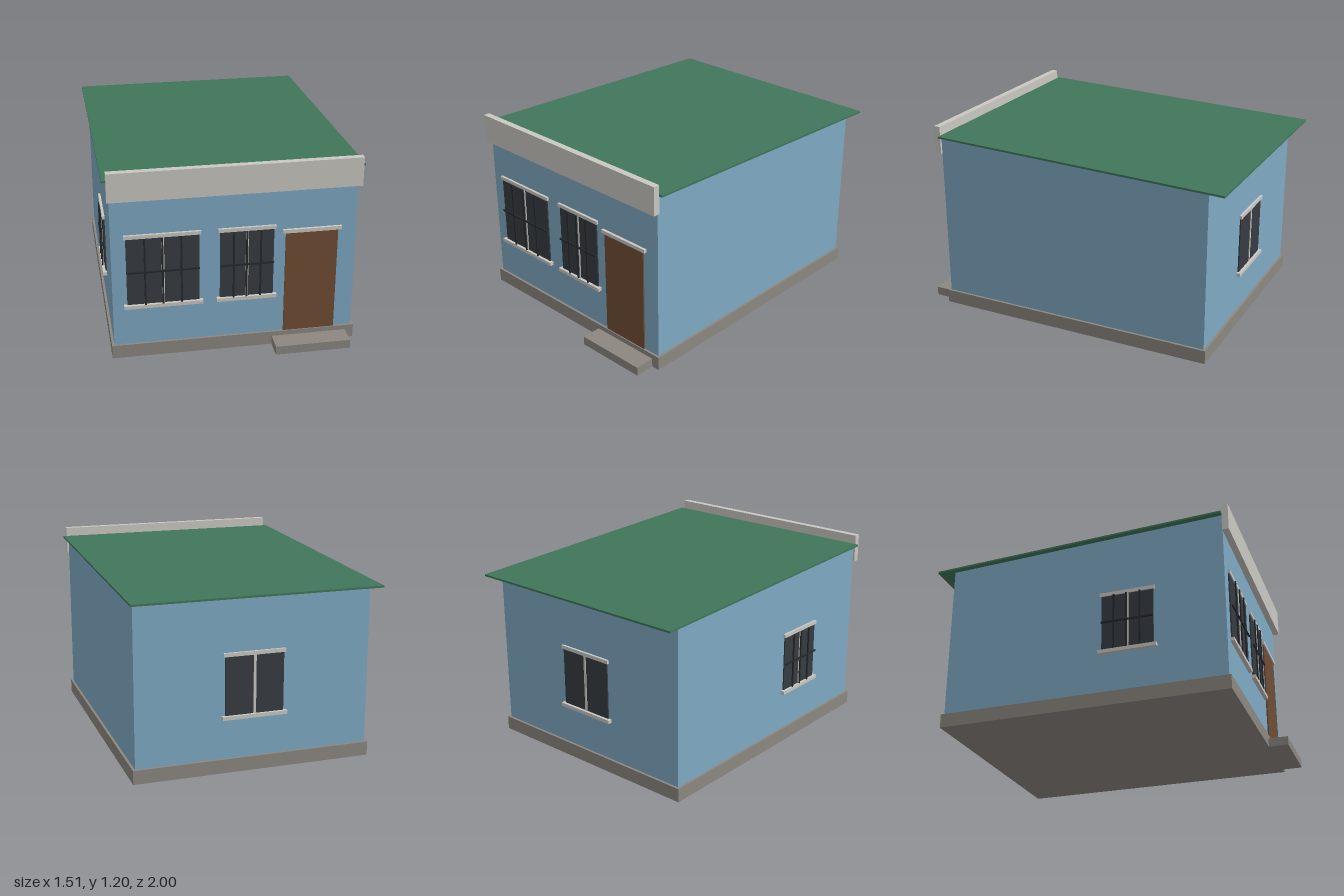
import * as THREE from 'three';

const mat = (name, color) => {
  const m = new THREE.MeshStandardMaterial({ color });
  m.name = name;
  return m;
};

export function createModel() {
  const wallBlue = mat('wall blue', 0x7faac4);
  const roofGreen = mat('roof green', 0x40765a);
  const trim = mat('pale trim', 0xcac8c2);
  const stone = mat('plinth grey', 0x8c8780);
  const wood = mat('door brown', 0x704d35);
  const glassDark = mat('glass', 0x373c42);
  const iron = mat('grille iron', 0x25292d);

  const house = new THREE.Group();
  house.name = 'house';

  // Box given by its minimum and maximum corners
  const box = (parent, name, material, [x0, y0, z0], [x1, y1, z1]) => {
    const mesh = new THREE.Mesh(new THREE.BoxGeometry(x1 - x0, y1 - y0, z1 - z0), material);
    mesh.position.set((x0 + x1) / 2, (y0 + y1) / 2, (z0 + z1) / 2);
    mesh.name = name;
    parent.add(mesh);
  };

  // Side profile of [z, y] points, extruded across x and centred
  const profile = (name, material, points, width) => {
    const shape = new THREE.Shape(points.map(([z, y]) => new THREE.Vector2(z, y)));
    const geo = new THREE.ExtrudeGeometry(shape, { depth: width, bevelEnabled: false });
    geo.rotateY(-Math.PI / 2).translate(width / 2, 0, 0);
    const mesh = new THREE.Mesh(geo, material);
    mesh.name = name;
    house.add(mesh);
  };

  // Base, walls and sloping roof
  box(house, 'plinth', stone, [-0.735, 0, -0.91], [0.735, 0.085, 0.877]);
  box(house, 'frontStep', stone, [0.227, 0, 0.87], [0.683, 0.055, 1]);
  profile('walls', wallBlue, [[-0.895, 0.05], [0.862, 0.05], [0.862, 1.128], [-0.895, 1.068]], 1.44);
  profile('roof', roofGreen, [[-1, 1.064], [0.862, 1.127], [0.862, 1.139], [-1, 1.076]], 1.51);
  box(house, 'parapet', trim, [-0.733, 1.02, 0.862], [0.733, 1.195, 0.902]);

  // Door with its lintel
  box(house, 'door', wood, [0.298, 0.085, 0.86], [0.61, 0.74, 0.871]);
  box(house, 'doorLintel', trim, [0.28, 0.74, 0.86], [0.63, 0.762, 0.879]);

  // Window facing +z on the plane z = 0, centred on x = 0
  const addWindow = (name, w, y0, y1, grille) => {
    const g = new THREE.Group();
    g.name = name;
    const h = w / 2;
    box(g, 'glass', glassDark, [-h, y0, -0.002], [h, y1, 0.008]);
    box(g, 'mullion', trim, [-0.008, y0, 0], [0.008, y1, 0.012]);
    box(g, 'lintel', trim, [-h - 0.011, y1, -0.002], [h + 0.011, y1 + 0.022, 0.015]);
    box(g, 'sill', trim, [-h - 0.02, y0 - 0.022, -0.002], [h + 0.02, y0, 0.025]);
    if (grille) {
      for (const i of [-1, 0, 1]) {
        const x = i * w / 4 - (i === 0 ? 0.003 : 0);
        box(g, 'grilleBar', iron, [x - 0.005, y0, 0.015], [x + 0.005, y1, 0.023]);
      }
      const mid = (y0 + y1) / 2;
      box(g, 'grilleRail', iron, [-h, mid - 0.005, 0.015], [h, mid + 0.005, 0.024]);
    }
    house.add(g);
    return g;
  };

  addWindow('frontWideWindow', 0.424, 0.35, 0.775, true).position.set(-0.423, 0, 0.862);
  addWindow('frontNarrowWindow', 0.318, 0.35, 0.775, true).position.set(0.069, 0, 0.862);
  const side = addWindow('sideWindow', 0.32, 0.35, 0.705, true);
  side.position.set(-0.72, 0, 0.27);
  side.rotation.y = -Math.PI / 2;
  const back = addWindow('backWindow', 0.36, 0.35, 0.705, false);
  back.position.set(0, 0, -0.895);
  back.rotation.y = Math.PI;

  return house;
}
